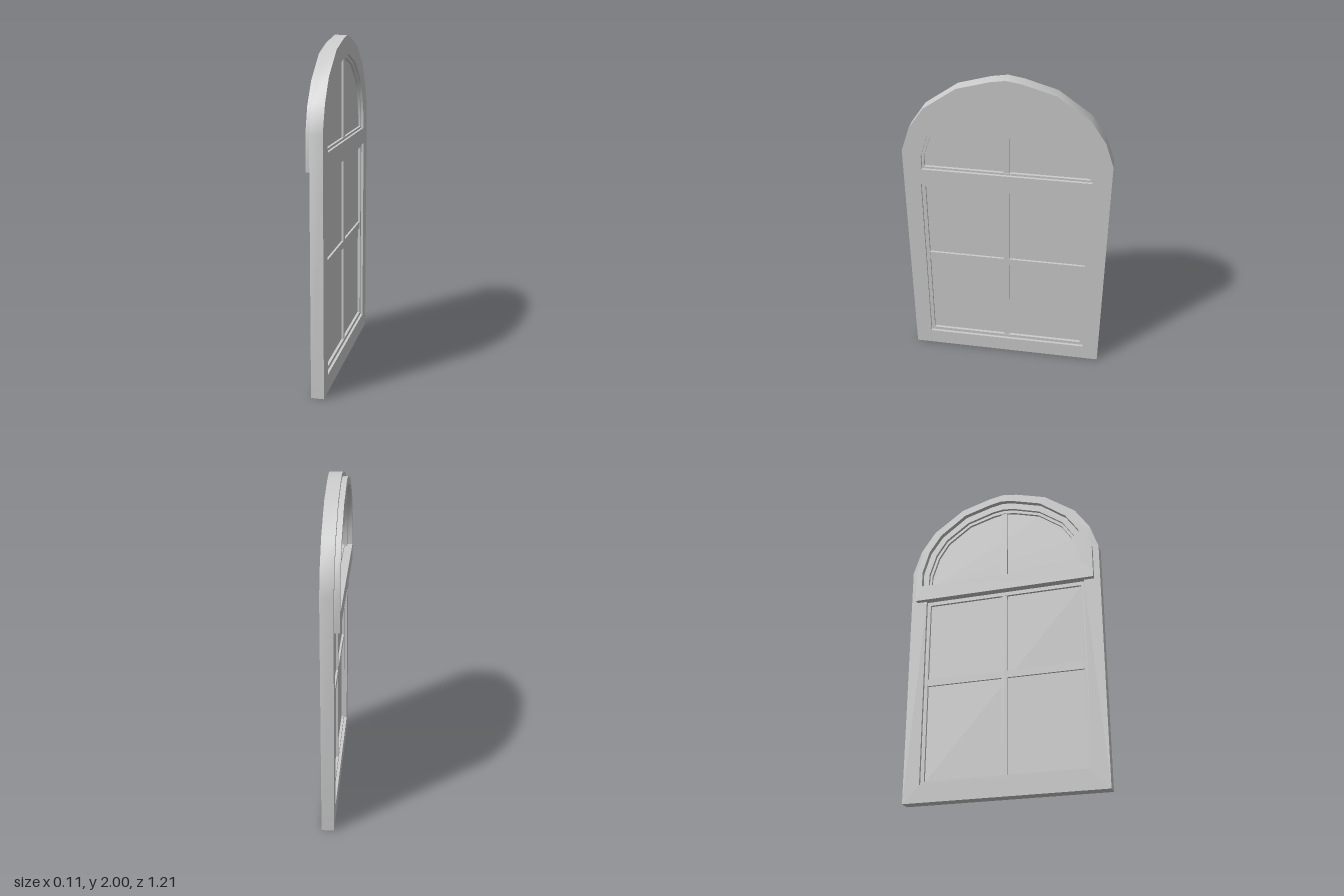
import * as THREE from 'three';
import { toCreasedNormals } from 'three/addons/utils/BufferGeometryUtils.js';

const material = new THREE.MeshStandardMaterial({ color: 0xcccccc });

// Half outlines as [distance from centre line, height], bottom to crown
const frameArch = [[0.607, 0], [0.607, 1.51], [0.557, 1.66], [0.467, 1.793], [0.277, 1.93], [0.09, 1.985], [0, 2]];
const hoodArch = [[0.57, 1.29], [0.57, 1.5], [0.525, 1.645], [0.44, 1.77], [0.265, 1.905], [0.085, 1.96], [0, 1.975]];
const hoodOpening = [[0.533, 1.39], [0.533, 1.49], [0.49, 1.632], [0.413, 1.745], [0.25, 1.868], [0.08, 1.918], [0, 1.932]];
const fanOpening = [[0.497, 1.39], [0.497, 1.48], [0.453, 1.618], [0.385, 1.72], [0.237, 1.828], [0.07, 1.879], [0, 1.888]];
const fanPane = [[0.483, 1.403], [0.483, 1.472], [0.44, 1.605], [0.375, 1.705], [0.23, 1.812], [0.07, 1.859], [0, 1.868]];
const rect = (w, y0, y1) => [[w, y0], [w, y1]];

// Mirrors a half outline into a closed loop
function loop(half) {
  const mirrored = half.filter(p => p[0] > 0).reverse().map(([u, y]) => [-u, y]);
  return [...half, ...mirrored].map(([u, y]) => new THREE.Vector2(u, y));
}

// Extrudes an outline with openings across the thickness, from x0 to x1
function panel(name, outline, openings, x0, x1) {
  const shape = new THREE.Shape(loop(outline));
  for (const o of openings) shape.holes.push(new THREE.Path(loop(o)));
  const geometry = new THREE.ExtrudeGeometry(shape, { depth: x1 - x0, bevelEnabled: false });
  geometry.rotateY(Math.PI / 2).translate(x0, 0, 0);
  const mesh = new THREE.Mesh(toCreasedNormals(geometry, 0.7), material);
  mesh.name = name;
  return mesh;
}

// Glazing bar centred on the pane
function bar(name, height, width, y) {
  const mesh = new THREE.Mesh(new THREE.BoxGeometry(0.036, height, width), material);
  mesh.position.set(0.014, y, 0);
  mesh.name = name;
  return mesh;
}

export function createModel() {
  const group = new THREE.Group();
  group.name = 'archedWindow';
  const lowerOpening = rect(0.507, 0.105, 1.29);
  const lowerPane = rect(0.485, 0.127, 1.266);

  // Surround with an arched fanlight opening and a rectangular one
  group.add(panel('frame', frameArch, [lowerOpening, fanOpening], -0.025, 0.05));

  // Raised moulding round the fanlight on one face
  group.add(panel('hoodMoulding', hoodArch, [hoodOpening], -0.055, -0.025));

  // Sashes and glass set into the openings
  group.add(panel('fanlightSash', fanOpening, [fanPane], -0.007, 0.035));
  group.add(panel('lowerSash', lowerOpening, [lowerPane], -0.007, 0.035));
  group.add(panel('fanlightGlass', fanPane, [], 0.009, 0.019));
  group.add(panel('lowerGlass', lowerPane, [], 0.009, 0.019));

  // Glazing bars
  group.add(bar('fanlightMullion', 0.463, 0.037, 1.6345));
  group.add(bar('lowerMullion', 1.139, 0.037, 0.6965));
  group.add(bar('lowerTransom', 0.045, 0.97, 0.743));
  return group;
}
